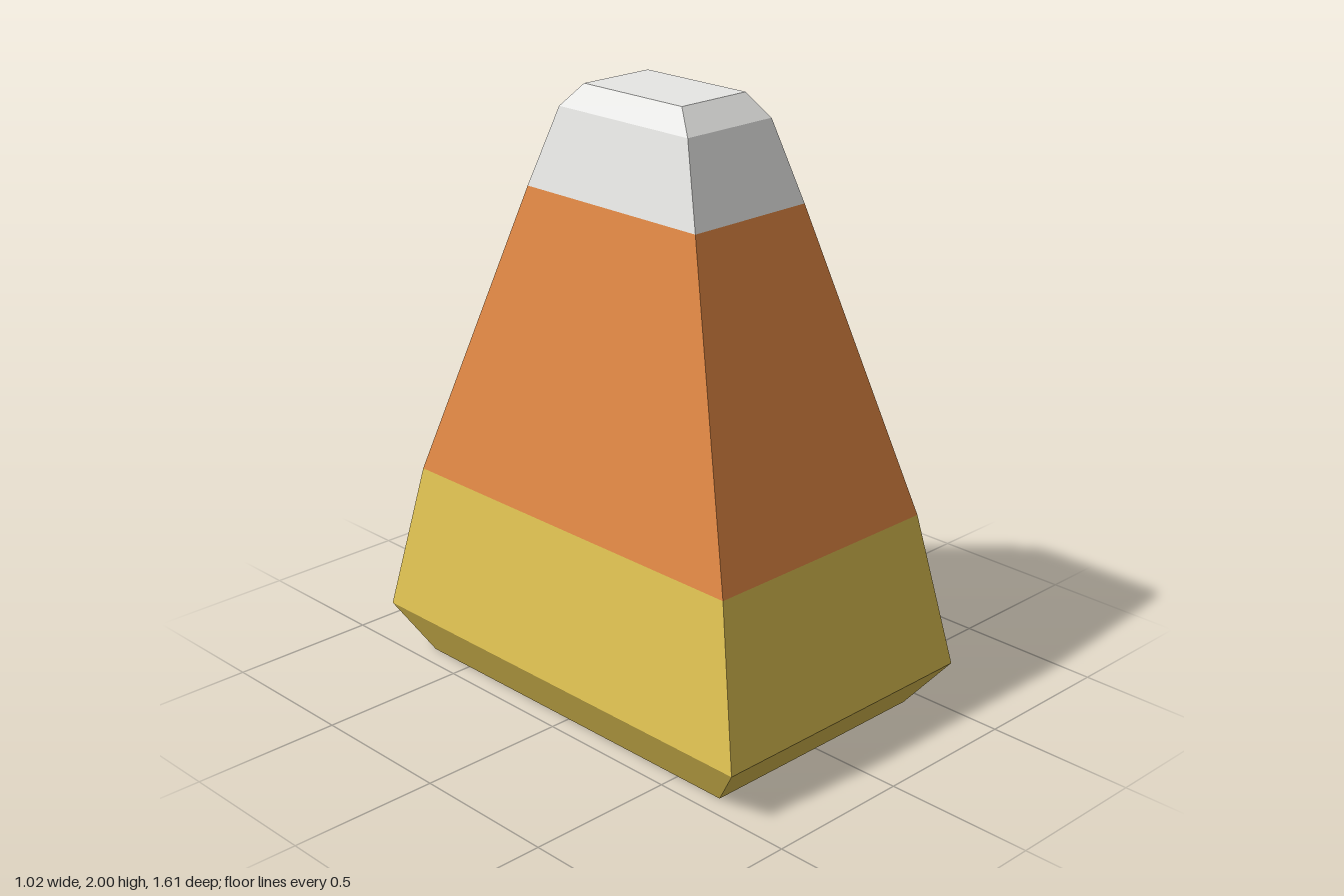
import * as THREE from 'three';

// Horizontal rectangular sections: [height, half width, half depth]
const FOOT = [0, 0.43, 0.68];
const RIM = [0.16, 0.51, 0.805];
const LOWER = [0.67, 0.44, 0.695];
const UPPER = [1.665, 0.235, 0.37];
const SHOULDER = [1.925, 0.178, 0.28];
const TIP = [2, 0.135, 0.212];

// Four corners, counter-clockwise from above, starting front right
const corners = ([y, w, d]) => [[-w, y, d], [w, y, d], [w, y, -d], [-w, y, -d]];

// Flat-faced walls through the sections, with optional end caps
function bandGeometry(sections, { capBottom = false, capTop = false } = {}) {
  const rings = sections.map(corners);
  const points = [];
  const quad = (a, b, c, d) => points.push(...a, ...b, ...c, ...a, ...c, ...d);
  for (let r = 0; r < rings.length - 1; r++) {
    for (let i = 0; i < 4; i++) {
      const j = (i + 1) % 4;
      quad(rings[r][i], rings[r][j], rings[r + 1][j], rings[r + 1][i]);
    }
  }
  if (capBottom) quad(...[...rings[0]].reverse());
  if (capTop) quad(...rings[rings.length - 1]);
  const geometry = new THREE.BufferGeometry();
  geometry.setAttribute('position', new THREE.Float32BufferAttribute(points, 3));
  geometry.computeVertexNormals();
  return geometry;
}

export function createModel() {
  const group = new THREE.Group();
  group.name = 'candyCorn';

  const addBand = (name, materialName, color, sections, caps) => {
    const material = new THREE.MeshStandardMaterial({ color });
    material.name = materialName;
    const mesh = new THREE.Mesh(bandGeometry(sections, caps), material);
    mesh.name = name;
    group.add(mesh);
  };

  // Yellow base with bevelled foot, orange middle, white bevelled tip
  addBand('base', 'yellow', 0xe2c453, [FOOT, RIM, LOWER], { capBottom: true });
  addBand('middle', 'orange', 0xe08743, [LOWER, UPPER]);
  addBand('tip', 'white', 0xebebe9, [UPPER, SHOULDER, TIP], { capTop: true });

  return group;
}
